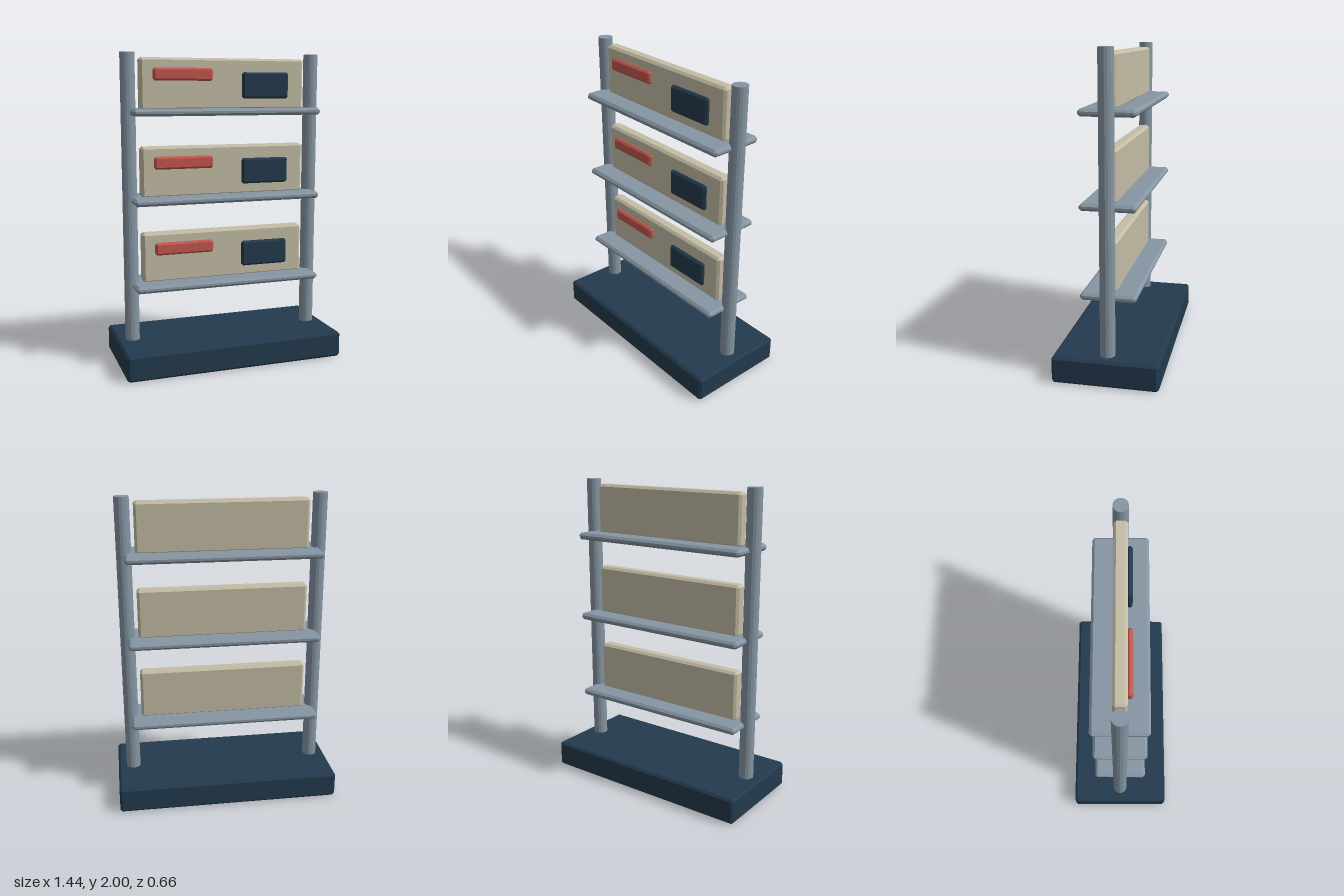
import * as THREE from 'three';
import { ConvexGeometry } from 'three/addons/geometries/ConvexGeometry.js';

const mat = (name, color) => {
  const m = new THREE.MeshStandardMaterial({ color, flatShading: true });
  m.name = name;
  return m;
};

// Box with a single flat chamfer on every edge
function chamferBox(w, h, d, c) {
  const points = [];
  for (const sx of [-1, 1]) for (const sy of [-1, 1]) for (const sz of [-1, 1]) {
    const [x, y, z] = [w / 2, h / 2, d / 2];
    points.push(
      new THREE.Vector3(sx * x, sy * (y - c), sz * (z - c)),
      new THREE.Vector3(sx * (x - c), sy * y, sz * (z - c)),
      new THREE.Vector3(sx * (x - c), sy * (y - c), sz * z));
  }
  return new ConvexGeometry(points);
}

export function createModel() {
  const navy = mat('navy', 0x233a4d);
  const steel = mat('steel', 0x8696a3);
  const cream = mat('cream', 0xc4bca5);
  const red = mat('red', 0xc2574e);

  const model = new THREE.Group();
  model.name = 'displayStand';
  const add = (parent, name, geometry, material, x, y, z) => {
    const mesh = new THREE.Mesh(geometry, material);
    mesh.name = name;
    mesh.position.set(x, y, z);
    parent.add(mesh);
  };

  // Heavy foot
  add(model, 'base', chamferBox(1.444, 0.168, 0.66, 0.015), navy, 0, 0.084, 0);

  // Two uprights
  const post = new THREE.CylinderGeometry(0.047, 0.047, 1.86, 16);
  add(model, 'leftPost', post, steel, 0.62, 1.07, 0);
  add(model, 'rightPost', post, steel, -0.62, 1.07, 0);

  // Three tiers: shelf, board and the two raised plates on its front
  const shelf = chamferBox(1.24, 0.044, 0.344, 0.015);
  const board = chamferBox(1.1, 0.325, 0.082, 0.015);
  const label = chamferBox(0.388, 0.08, 0.034, 0.012);
  const screen = chamferBox(0.318, 0.166, 0.034, 0.012);
  for (let i = 0; i < 3; i++) {
    const tier = new THREE.Group();
    tier.name = 'tier' + (i + 1);
    tier.position.y = 0.528 + i * 0.552;
    add(tier, 'shelf', shelf, steel, 0, 0, 0);
    add(tier, 'board', board, cream, 0, 0.174, 0);
    add(tier, 'redPlate', label, red, -0.278, 0.234, 0.053);
    add(tier, 'darkPlate', screen, navy, 0.274, 0.166, 0.053);
    model.add(tier);
  }
  return model;
}
